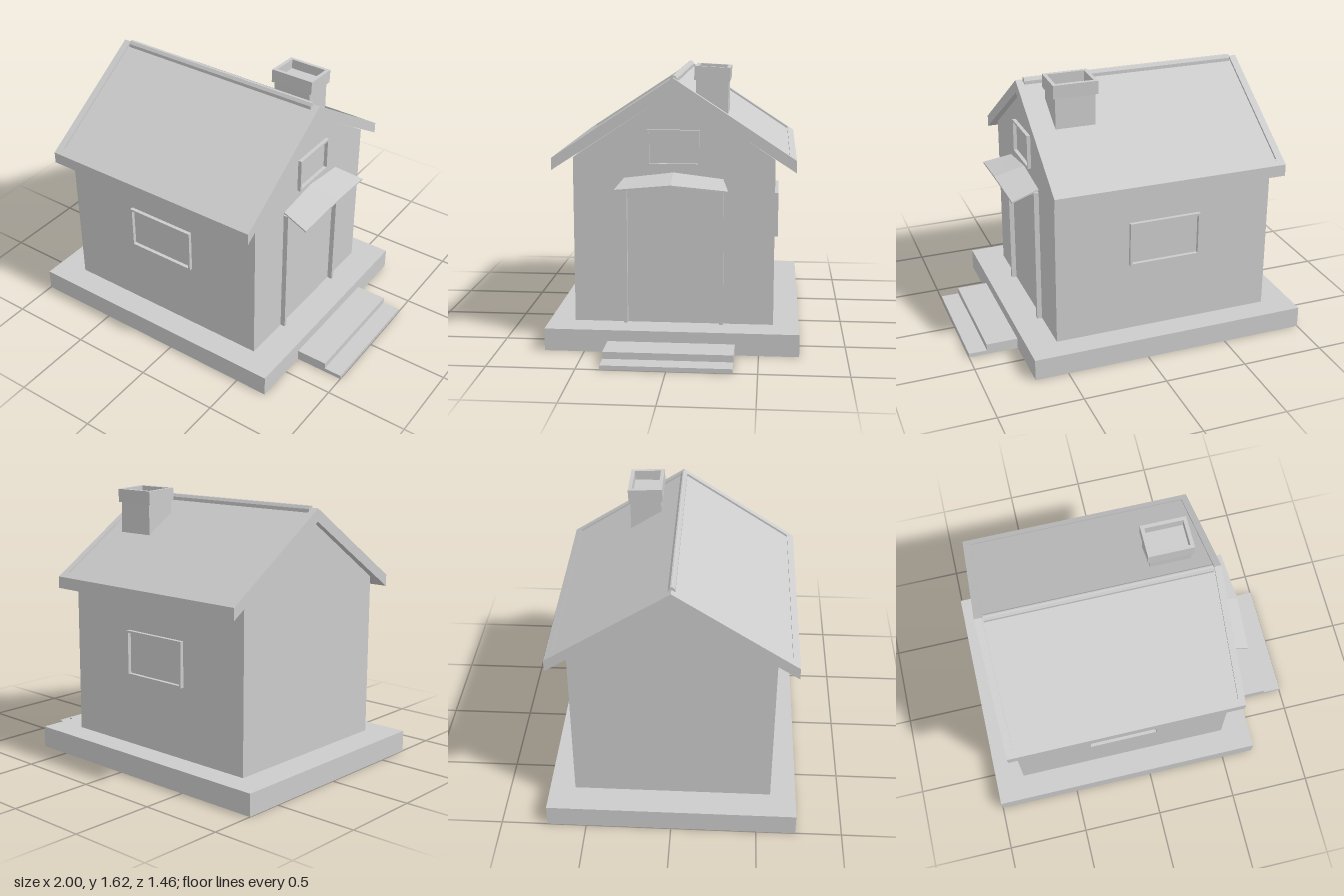
import * as THREE from 'three';

const grey = new THREE.MeshStandardMaterial({ color: 0xcccccc, flatShading: true });
const thin = new THREE.MeshStandardMaterial({ color: 0xcccccc, flatShading: true, side: THREE.DoubleSide });

export function createModel() {
  const house = new THREE.Group();
  house.name = 'house';

  const add = (name, geometry, parent = house, material = grey) => {
    const mesh = new THREE.Mesh(geometry, material);
    mesh.name = name;
    parent.add(mesh);
    return mesh;
  };

  // Box given by its two limits on each axis
  const box = (name, x0, x1, y0, y1, z0, z1, parent) =>
    add(name, new THREE.BoxGeometry(x1 - x0, y1 - y0, z1 - z0), parent)
      .position.set((x0 + x1) / 2, (y0 + y1) / 2, (z0 + z1) / 2);

  // Symmetric gable section, drawn as half profile [z, y], extruded along x
  const gable = (name, half, x0, x1, parent) => {
    const mirrored = half.filter(p => p[0] > 0).reverse().map(([z, y]) => [-z, y]);
    const shape = new THREE.Shape([...half, ...mirrored].map(p => new THREE.Vector2(...p)));
    const geometry = new THREE.ExtrudeGeometry(shape, { depth: x1 - x0, bevelEnabled: false });
    geometry.rotateY(Math.PI / 2).translate(x0, 0, 0);
    return add(name, geometry, parent);
  };

  // Rectangular ring of border b, centred, extruded towards +z
  const ring = (w, h, b, depth) => {
    const rect = (Type, a, c) => new Type([[-a, -c], [a, -c], [a, c], [-a, c]].map(p => new THREE.Vector2(...p)));
    const shape = rect(THREE.Shape, w / 2, h / 2);
    shape.holes.push(rect(THREE.Path, w / 2 - b, h / 2 - b));
    return new THREE.ExtrudeGeometry(shape, { depth, bevelEnabled: false });
  };

  // Plinth and entrance steps
  box('plinth', -1, 0.7, 0, 0.13, -0.73, 0.73);
  box('upperStep', 0.7, 0.89, 0, 0.065, -0.365, 0.365);
  box('lowerStep', 0.89, 1, 0, 0.025, -0.365, 0.365);

  // Walls with gable ends
  gable('walls', [[0, 0.13], [0.58, 0.13], [0.58, 1.1], [0, 1.485]], -0.82, 0.52);

  // Roof: raised rim at both ends and the eaves, sunken fields between
  const roof = new THREE.Group();
  roof.name = 'roof';
  house.add(roof);
  const rim = [[0, 1.485], [0.7, 1.03], [0.7, 1.1], [0, 1.56]];
  const field = [[0, 1.485], [0.7, 1.03], [0.7, 1.1], [0.66, 1.126], [0.66, 1.112], [0, 1.546]];
  gable('roofRimLeft', rim, 0.515, 0.555, roof);
  gable('roofRimRight', rim, -0.855, -0.812, roof);
  gable('roofField', field, -0.812, 0.515, roof);
  gable('ridgeCap', [[0, 1.53], [0.02, 1.53], [0.02, 1.553], [0.008, 1.57], [0, 1.572]], -0.805, 0.508, roof);

  // Chimney with a hollow, slightly tilted cap
  const chimney = new THREE.Group();
  chimney.name = 'chimney';
  house.add(chimney);
  box('chimneyStack', 0.175, 0.415, 1.3, 1.555, -0.305, -0.12, chimney);
  const cap = add('chimneyCap', ring(0.27, 0.204, 0.022, 0.08), chimney);
  cap.rotation.x = -Math.PI / 2 - 0.05;
  cap.position.set(0.295, 1.535, -0.212);

  // Window frames on the long walls and in the front gable
  const window = (name, w, h, x, y, z, turn) => {
    const frame = add(name, ring(w, h, 0.012, 0.022));
    frame.position.set(x, y, z);
    frame.rotation.y = turn;
  };
  window('frontWindow', 0.44, 0.27, -0.15, 0.69, 0.58, 0);
  window('backWindow', 0.44, 0.27, -0.15, 0.69, -0.58, Math.PI);
  window('gableWindow', 0.3, 0.205, 0.52, 1.163, 0, Math.PI / 2);

  // Door posts
  for (const s of [-1, 1]) {
    const z = s * 0.278;
    box('doorPost', 0.52, 0.55, 0.13, 0.965, z - 0.011, z + 0.011);
  }

  // Door canopy: a folded sheet made of back-to-front sections
  const sections = [
    [[0.52, 0.985, -0.285], [0.69, 0.945, -0.32]],
    [[0.52, 1.02, 0], [0.705, 0.977, 0]],
    [[0.52, 0.985, 0.285], [0.69, 0.945, 0.32]],
  ];
  const points = [];
  for (const [b, f] of sections) {
    const low = ([x, y, z]) => [x, y - 0.01, z];
    points.push(...b, ...f, ...low(f), ...low(b));
  }
  const index = [0, 1, 2, 0, 2, 3, 8, 10, 9, 8, 11, 10];
  for (let i = 0; i < 2; i++) {
    for (let j = 0; j < 4; j++) {
      const a = i * 4 + j, b = i * 4 + (j + 1) % 4;
      index.push(a, a + 4, b, b, a + 4, b + 4);
    }
  }
  const canopy = new THREE.BufferGeometry();
  canopy.setAttribute('position', new THREE.Float32BufferAttribute(points, 3));
  canopy.setIndex(index);
  canopy.computeVertexNormals();
  add('doorCanopy', canopy, house, thin);

  return house;
}
